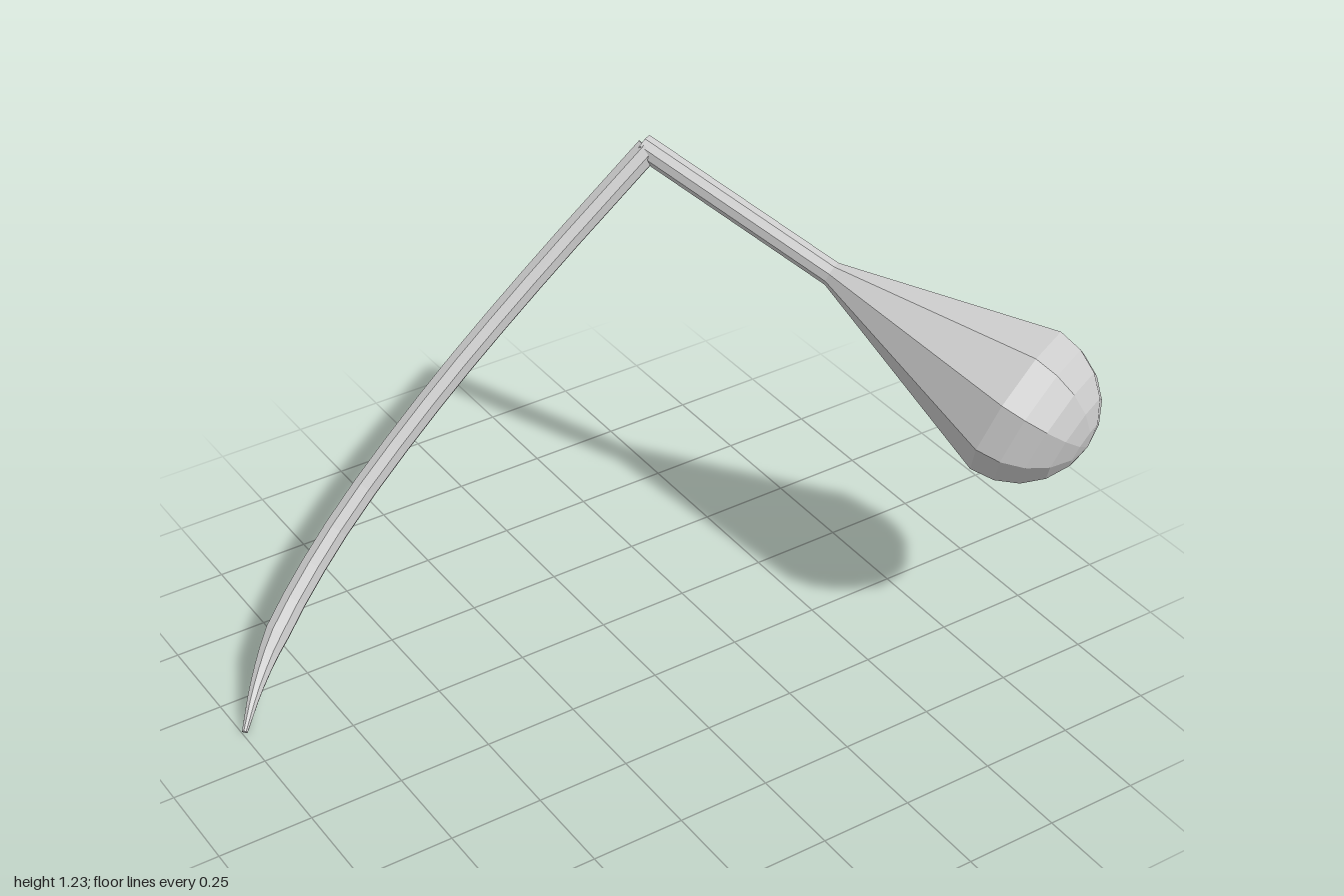
import * as THREE from 'three';

const material = new THREE.MeshStandardMaterial({ color: 0xcccccc, flatShading: true, side: THREE.DoubleSide });

// Lofts round sections of given radii along a planar path; zero radii close the ends
function loft(centres, radii, normal, sides) {
  const positions = [], index = [];
  const last = centres.length - 1;
  centres.forEach((c, i) => {
    const tangent = centres[Math.min(i + 2, last)].clone().sub(centres[Math.max(i - 2, 0)]).normalize();
    const side = new THREE.Vector3().crossVectors(tangent, normal).normalize();
    for (let j = 0; j < sides; j++) {
      const a = (j + 0.5) / sides * Math.PI * 2;
      const p = c.clone()
        .addScaledVector(normal, radii[i] * Math.cos(a))
        .addScaledVector(side, radii[i] * Math.sin(a));
      positions.push(p.x, p.y, p.z);
      if (i < last) {
        const k = (j + 1) % sides, r0 = i * sides, r1 = r0 + sides;
        index.push(r0 + j, r0 + k, r1 + j, r0 + k, r1 + k, r1 + j);
      }
    }
  });
  const geometry = new THREE.BufferGeometry();
  geometry.setAttribute('position', new THREE.Float32BufferAttribute(positions, 3));
  // Winding follows normal x side = tangent, so flip to face outward if needed
  geometry.setIndex(index);
  geometry.computeVertexNormals();
  return geometry;
}

export function createModel() {
  const group = new THREE.Group();
  const joint = new THREE.Vector3(0.335, 1.195, -0.545);

  // Stalk flaring into a rounded bulb
  const bulbCentre = new THREE.Vector3(0.792, 0.805, 0.415);
  const axis = bulbCentre.clone().sub(joint);
  const length = axis.length();
  axis.normalize();
  const radius = 0.206;
  const profile = [[0, -0.015], [0.033, -0.015], [0.033, length * 0.505]];
  for (let i = 0; i <= 5; i++) {
    const a = i * Math.PI / 10;
    profile.push([i === 5 ? 0 : radius * Math.cos(a), length + radius * Math.sin(a)]);
  }
  const bulb = new THREE.Mesh(
    new THREE.LatheGeometry(profile.map(([r, y]) => new THREE.Vector2(r, y)), 9), material);
  bulb.name = 'stalkAndBulb';
  const across = new THREE.Vector3().crossVectors(axis, new THREE.Vector3(0, 1, 0)).normalize();
  const down = new THREE.Vector3().crossVectors(axis, across).normalize();
  bulb.quaternion.setFromRotationMatrix(
    new THREE.Matrix4().makeBasis(new THREE.Vector3().crossVectors(axis, down), axis, down));
  bulb.position.copy(joint);
  group.add(bulb);

  // Curved leg: straight from the front, bowed backward, tapering to a point
  const bow = [[0.335, -0.545], [0, -0.583], [-0.3, -0.597], [-0.6, -0.573], [-0.82, -0.505], [-0.92, -0.44], [-0.995, -0.37]];
  const curve = new THREE.CatmullRomCurve3(
    bow.map(([x, z]) => new THREE.Vector3(x, 0.008 + (x + 0.995) * 0.893, z)));
  const centres = curve.getPoints(18);
  const radii = centres.map((p) => p.x > -0.81 ? 0.034 : THREE.MathUtils.mapLinear(p.x, -0.82, -0.995, 0.034, 0.008));
  centres.unshift(centres[0].clone());
  centres.push(centres[centres.length - 1].clone());
  radii.unshift(0);
  radii.push(0);
  const leg = new THREE.Mesh(loft(centres, radii, new THREE.Vector3(-0.666, 0.746, 0), 8), material);
  leg.name = 'curvedLeg';
  group.add(leg);

  return group;
}
